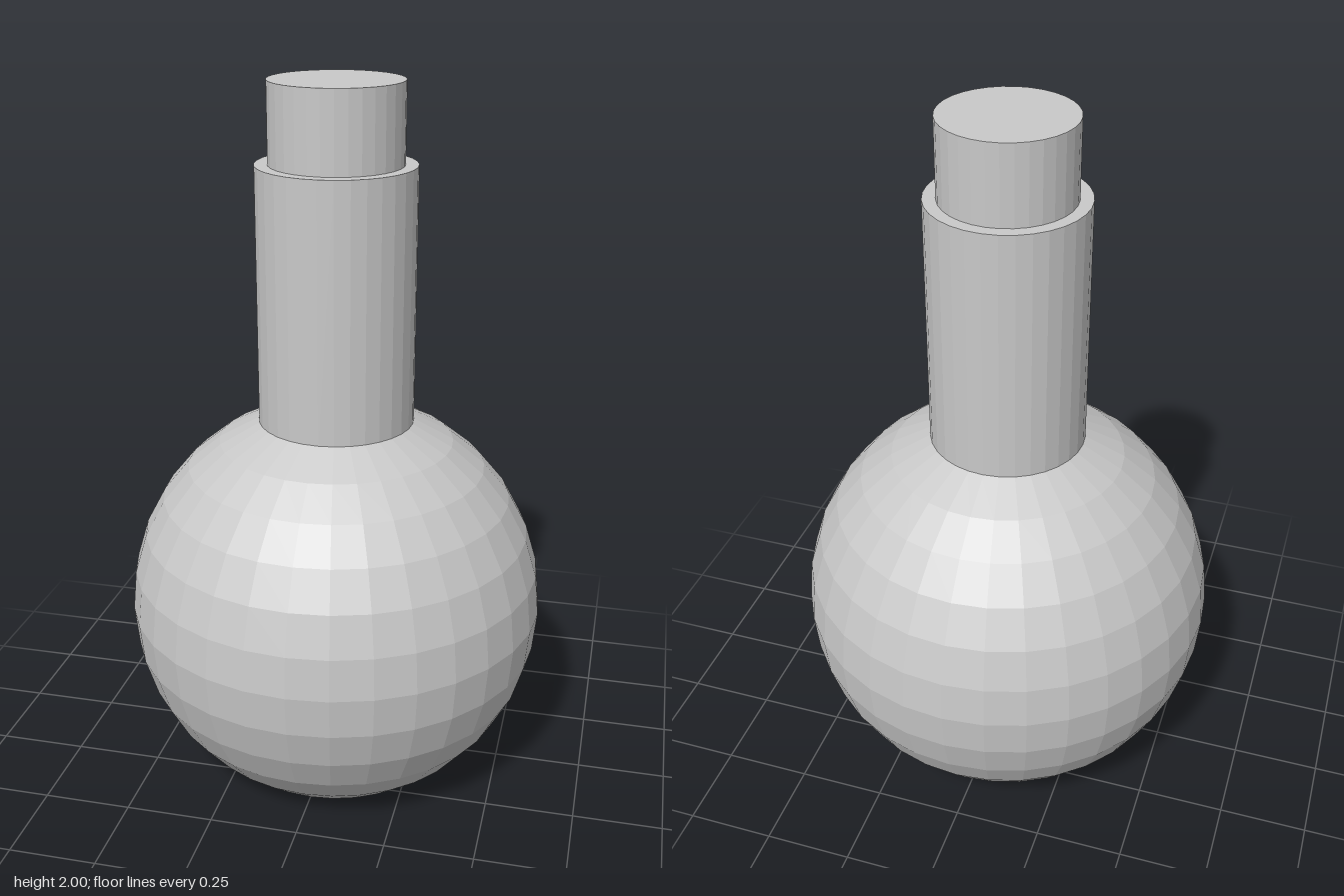
import * as THREE from 'three';

const SIDES = 32;
const glass = new THREE.MeshStandardMaterial({ color: 0xc8c8c8, flatShading: true });
glass.name = 'lightGrey';

// Upright cylinder standing between two heights
function upright(name, radius, bottom, top) {
  const geometry = new THREE.CylinderGeometry(radius, radius, top - bottom, SIDES);
  const mesh = new THREE.Mesh(geometry, glass);
  mesh.position.y = (bottom + top) / 2;
  mesh.name = name;
  return mesh;
}

export function createModel() {
  const model = new THREE.Group();
  model.name = 'roundFlask';

  // Round body: a faceted sphere cut flat at the base and closed under the neck
  const radius = 0.6, centre = 0.5, step = Math.PI / 16;
  const profile = [new THREE.Vector2(0, 0)];
  for (let i = -5; i <= 6; i++) {
    const y = i === -5 ? 0 : centre + radius * Math.sin(i * step);
    profile.push(new THREE.Vector2(radius * Math.cos(i * step), y));
  }
  profile.push(new THREE.Vector2(0.219, 1.06), new THREE.Vector2(0, 1.06));
  const body = new THREE.Mesh(new THREE.LatheGeometry(profile, SIDES), glass);
  body.name = 'body';
  model.add(body);

  // Neck and the narrower stopper above it
  model.add(upright('neck', 0.22, 1.04, 1.78));
  model.add(upright('stopper', 0.184, 1.76, 2));
  return model;
}
